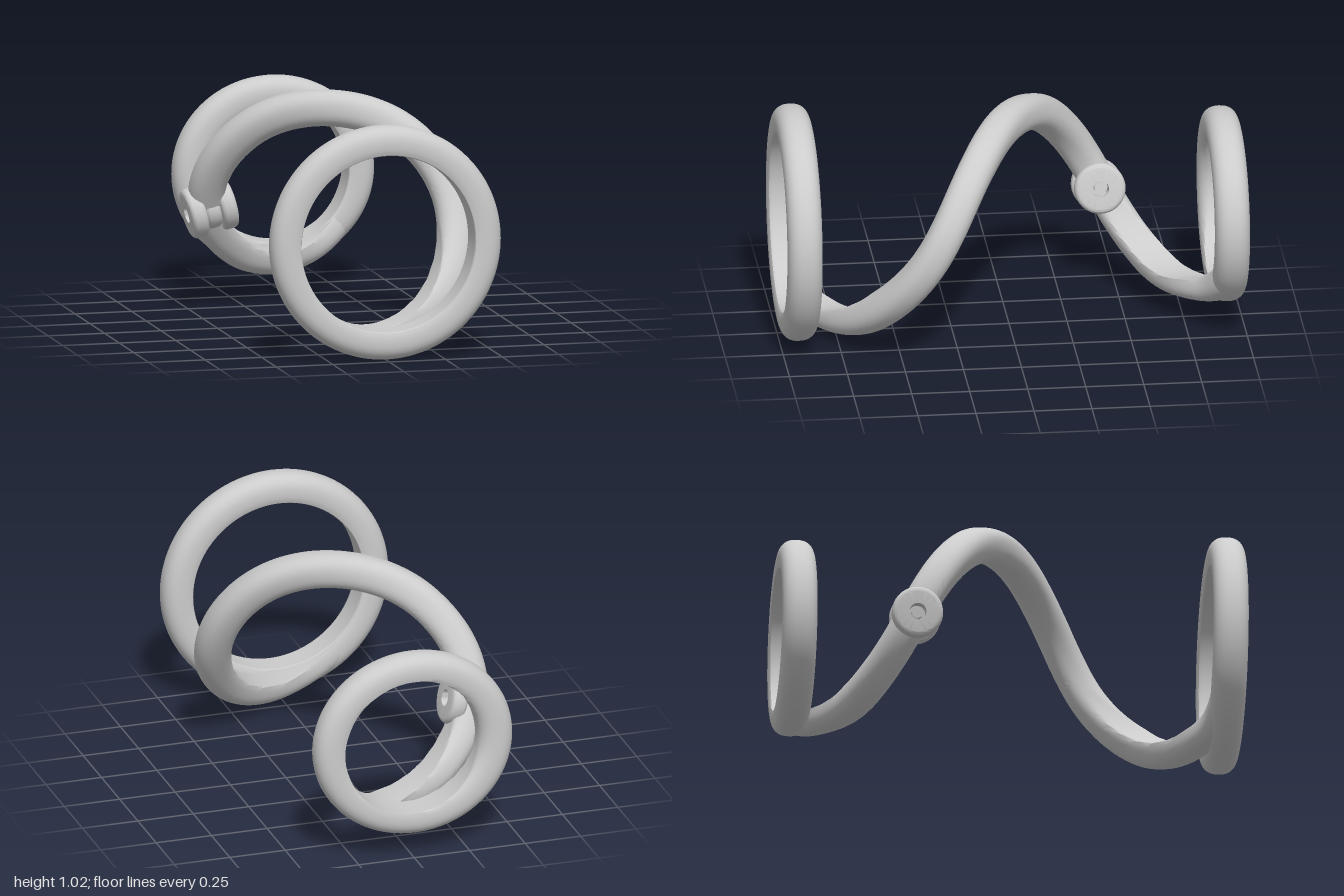
import * as THREE from 'three';
import { toCreasedNormals, mergeVertices } from 'three/addons/utils/BufferGeometryUtils.js';

const AXIS_Y = 0.51;   // height of the common axis of rings and spiral
const HALF = 0.078;    // radial half height of the bar section
const rad = THREE.MathUtils.degToRad;
const material = new THREE.MeshStandardMaterial({ color: 0xcccccc, side: THREE.DoubleSide });

// Bar swept around the z axis. at(degrees) gives { z, rIn, rOut, w };
// the rounded section is cut flat wherever it would pass inside rIn.
function sweep(name, from, to, steps, at) {
  const SIDES = 36, pos = [], index = [];
  const radial = d => new THREE.Vector3(Math.sin(rad(d)), -Math.cos(rad(d)), 0);
  const centre = d => {
    const s = at(d);
    return radial(d).multiplyScalar(s.rOut - HALF).add(new THREE.Vector3(0, AXIS_Y, s.z));
  };
  const round = v => Math.sign(v) * Math.abs(v) ** (2 / 2.4);
  for (let i = 0; i <= steps; i++) {
    const d = from + (to - from) * i / steps;
    const s = at(d), e = radial(d), c = centre(d);
    const tangent = centre(d + 0.5).sub(centre(d - 0.5)).normalize();
    const side = tangent.cross(e).normalize();
    for (let j = 0; j < SIDES; j++) {
      const a = j / SIDES * Math.PI * 2;
      const up = Math.max(HALF * round(Math.cos(a)), s.rIn - s.rOut + HALF);
      const p = c.clone().addScaledVector(e, up).addScaledVector(side, s.w * round(Math.sin(a)));
      pos.push(p.x, p.y, p.z);
      if (i < steps) {
        const k = i * SIDES, n = (j + 1) % SIDES;
        index.push(k + j, k + n, k + SIDES + j, k + n, k + SIDES + n, k + SIDES + j);
      }
    }
  }
  let geo = new THREE.BufferGeometry();
  geo.setAttribute('position', new THREE.Float32BufferAttribute(pos, 3));
  geo.setIndex(index);
  geo = toCreasedNormals(mergeVertices(geo, 1e-5), 0.6);
  const mesh = new THREE.Mesh(geo, material);
  mesh.name = name;
  return mesh;
}

// Spiral keys: angle from the bottom, then z, inner radius, outer radius, half width
const keys = [
  [-45, 0.925, 0.387, 0.495, 0.066],
  [-20, 0.885, 0.386, 0.490, 0.068],
  [0, 0.805, 0.385, 0.482, 0.070],
  [45, 0.605, 0.380, 0.508, 0.073],
  [90, 0.370, 0.374, 0.530, 0.075],
  [135, 0.185, 0.360, 0.520, 0.077],
  [180, 0.000, 0.348, 0.505, 0.077],
  [225, -0.205, 0.355, 0.518, 0.077],
  [270, -0.405, 0.365, 0.522, 0.076],
  [315, -0.580, 0.325, 0.455, 0.074],
  [360, -0.735, 0.310, 0.405, 0.070],
  [385, -0.855, 0.309, 0.412, 0.068],
  [410, -0.925, 0.309, 0.415, 0.066],
];
const spline = new THREE.CubicInterpolant(
  keys.map(k => k[0]), keys.flatMap(k => k.slice(1)), 4);
const spiral = d => {
  const [z, rIn, rOut, w] = spline.evaluate(THREE.MathUtils.clamp(d, -45, 410));
  return { z, rIn, rOut, w };
};

// Disc with rounded rims and a hole, centred on its own y axis
function disc(name, radius, hole, thickness, y) {
  const h = thickness / 2, b = Math.min(0.022, h * 0.7), pts = [[hole, -h]];
  for (const [cy, start] of [[-h + b, -90], [h - b, 0]]) {
    for (let i = 0; i <= 6; i++) {
      const a = rad(start + i * 15);
      pts.push([radius - b + b * Math.cos(a), cy + b * Math.sin(a)]);
    }
  }
  pts.push([hole, h], [hole, -h]);
  const geo = new THREE.LatheGeometry(pts.map(p => new THREE.Vector2(...p)), 48);
  const mesh = new THREE.Mesh(toCreasedNormals(geo, 0.6), material);
  mesh.name = name;
  mesh.position.y = y;
  return mesh;
}

export function createModel() {
  const model = new THREE.Group();
  model.name = 'spiralDoubleRing';

  // Large front ring and smaller, slightly oval back ring
  model.add(sweep('frontRing', 0, 360, 120, () =>
    ({ z: 0.925, rIn: 0.384, rOut: 0.509, w: 0.075 })));
  model.add(sweep('backRing', 0, 360, 120, d =>
    ({ z: -0.925, rIn: 0.306, w: 0.075,
      rOut: 0.43 - 0.015 * Math.cos(rad(2 * d)) - 0.015 * Math.sin(rad(d)) })));

  // Spiral bar in two arms that meet at the hinge
  model.add(sweep('frontArm', -45, 275, 200, spiral));
  model.add(sweep('backArm', 281, 410, 90, spiral));

  // Hinge: two outer lugs, a middle knuckle and a recessed pin
  const hinge = new THREE.Group();
  hinge.name = 'hinge';
  hinge.position.set(-0.425, 0.447, -0.43);
  hinge.rotation.z = rad(-76);
  hinge.add(disc('outerLug', 0.11, 0.036, 0.07, -0.068));
  hinge.add(disc('innerLug', 0.11, 0.036, 0.07, 0.068));
  hinge.add(disc('middleKnuckle', 0.088, 0.02, 0.07, 0));
  const pin = new THREE.Mesh(new THREE.CylinderGeometry(0.024, 0.024, 0.15, 24), material);
  pin.name = 'hingePin';
  hinge.add(pin);
  model.add(hinge);

  return model;
}
